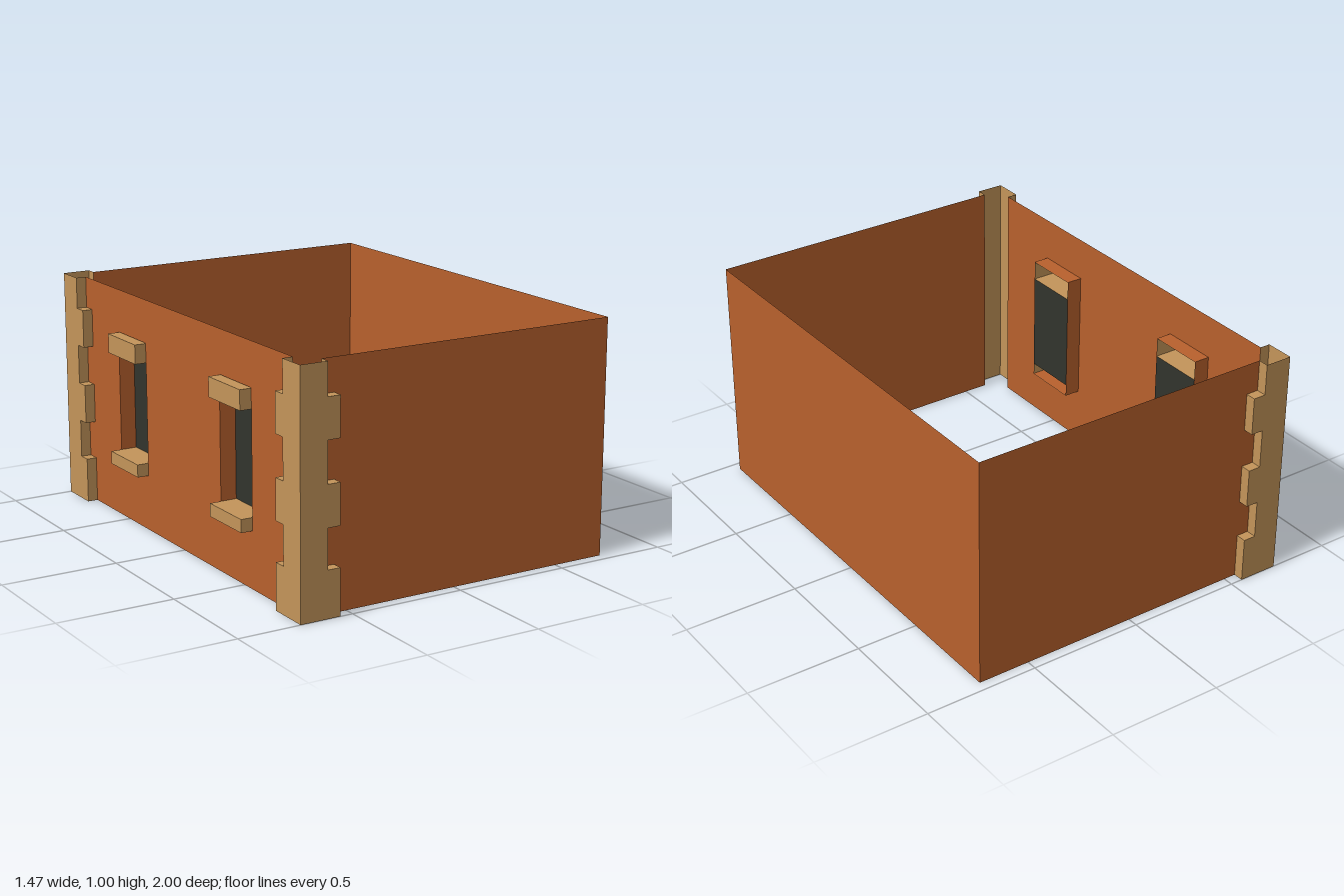
import * as THREE from 'three';
import { mergeGeometries } from 'three/addons/utils/BufferGeometryUtils.js';

const material = (name, color) => new THREE.MeshStandardMaterial({ name, color, side: THREE.DoubleSide });

// Main planes of the building
const RIGHT = -0.685, LEFT = 0.73, END = 0.955;
const CORNER_X = -0.73, CORNER_Z = 1;
// Window opening and its reveal
const WIN = { z0: 0.315, z1: 0.565, y0: 0.242, y1: 0.815, back: -0.615, front: -0.735 };

// Box between two corners, without the listed faces (+x, -x, +y, -y, +z, -z = 0..5)
function openBox([x0, y0, z0], [x1, y1, z1], skip) {
  const geo = new THREE.BoxGeometry(x1 - x0, y1 - y0, z1 - z0);
  geo.translate((x0 + x1) / 2, (y0 + y1) / 2, (z0 + z1) / 2);
  const index = Array.from(geo.index.array);
  geo.setIndex(index.filter((_, i) => !skip.includes(Math.floor(i / 6))));
  geo.clearGroups();
  return geo;
}

function rectangle(Type, x0, y0, x1, y1) {
  const path = new Type();
  path.moveTo(x0, y0);
  path.lineTo(x1, y0);
  path.lineTo(x1, y1);
  path.lineTo(x0, y1);
  path.closePath();
  return path;
}

// Toothed corner face with a shallow edge; start is the corner, dir points along the wall
function quoin(start, dir, narrow, wide) {
  const depth = 0.045;
  const edge = [[narrow, 0]];
  for (const [low, high] of [[0, 0.195], [0.36, 0.53], [0.7, 0.865]]) {
    if (low > 0) edge.push([narrow, low]);
    edge.push([wide, low], [wide, high], [narrow, high]);
  }
  edge.push([narrow, 1]);
  const pts = edge.map(([u, y]) => new THREE.Vector2(start + dir * u, y));
  const face = new THREE.ShapeGeometry(new THREE.Shape(
    [new THREE.Vector2(start, 0), ...pts, new THREE.Vector2(start, 1)])).toNonIndexed();
  face.deleteAttribute('uv');

  const pos = [];
  for (let i = 0; i < pts.length - 1; i++) {
    const a = pts[i], b = pts[i + 1];
    const quad = [[a, 0], [a, -depth], [b, -depth], [a, 0], [b, -depth], [b, 0]];
    if (dir < 0) quad.reverse();
    for (const [p, z] of quad) pos.push(p.x, p.y, z);
  }
  const rim = new THREE.BufferGeometry();
  rim.setAttribute('position', new THREE.Float32BufferAttribute(pos, 3));
  rim.computeVertexNormals();
  return mergeGeometries([face, rim]);
}

export function createModel() {
  const brick = material('brick orange', 0xb9612d);
  const stone = material('sandstone', 0xc4955a);
  const glass = material('dark glass', 0x32342d);

  const model = new THREE.Group();
  model.name = 'buildingStorey';
  const add = (parent, name, geo, mat) => {
    const mesh = new THREE.Mesh(geo, mat);
    mesh.name = name;
    parent.add(mesh);
    return mesh;
  };

  // Plain left wall
  const left = new THREE.PlaneGeometry(END * 2, 1).rotateY(Math.PI / 2).translate(LEFT, 0.5, 0);
  add(model, 'leftWall', left, brick);

  // Right wall with two window openings
  const wall = rectangle(THREE.Shape, -0.875, 0, 0.875, 1);
  wall.holes.push(
    rectangle(THREE.Path, WIN.z0, WIN.y0, WIN.z1, WIN.y1),
    rectangle(THREE.Path, -WIN.z1, WIN.y0, -WIN.z0, WIN.y1));
  add(model, 'windowWall', new THREE.ShapeGeometry(wall).rotateY(-Math.PI / 2).translate(RIGHT, 0, 0), brick);

  // End wall, corner stones and window, mirrored front to back
  for (const side of [1, -1]) {
    const half = new THREE.Group();
    half.name = side > 0 ? 'frontHalf' : 'backHalf';
    half.scale.z = side;
    model.add(half);

    const inner = -0.61;
    add(half, 'endWall', new THREE.PlaneGeometry(LEFT - inner, 1)
      .translate((LEFT + inner) / 2, 0.5, END), brick);

    add(half, 'endQuoin', quoin(CORNER_X, 1, 0.12, 0.175).translate(0, 0, CORNER_Z), stone);
    add(half, 'sideQuoin', quoin(CORNER_Z, -1, 0.125, 0.18)
      .rotateY(-Math.PI / 2).translate(CORNER_X, 0, 0), stone);

    // Window reveal, open to both sides
    add(half, 'windowReveal', openBox([RIGHT, WIN.y0, WIN.z0], [WIN.back, WIN.y1, WIN.z1], [0, 1]), brick);

    // Lintel and sill, hollow at the back
    const z0 = WIN.z0 + 0.001, z1 = WIN.z1 - 0.001;
    add(half, 'lintel', openBox([WIN.front, 0.73, z0], [WIN.back, 0.813, z1], [0]), stone);
    add(half, 'sill', openBox([WIN.front, 0.24, z0], [WIN.back, 0.295, z1], [0]), stone);

    // Glass at the inner end of the reveal
    add(half, 'windowPane', new THREE.PlaneGeometry(WIN.z1 - WIN.z0, 0.435)
      .rotateY(-Math.PI / 2).translate(WIN.back, 0.5125, (WIN.z0 + WIN.z1) / 2), glass);
  }
  return model;
}
